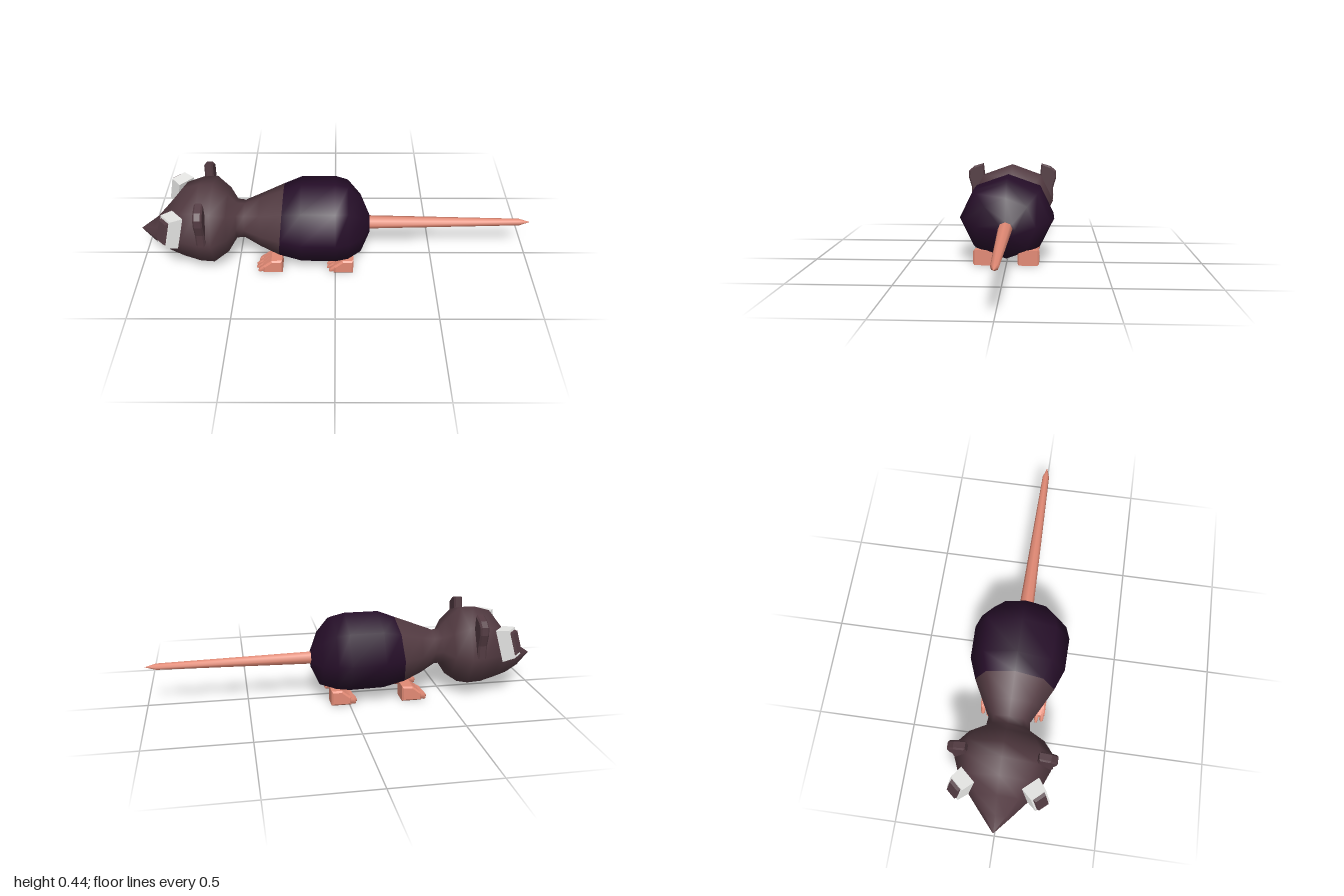
import * as THREE from 'three';

const material = (name, color, extra = {}) => {
  const m = new THREE.MeshStandardMaterial({ color, ...extra });
  m.name = name;
  return m;
};

// Loft of eight-sided rings along x: [x, top, bottom, halfWidth, slant]
function loft(rings, split = Infinity, sides = 8) {
  const pos = [], index = [];
  for (const [x, top, bottom, half, slant = 0] of rings) {
    for (let j = 0; j < sides; j++) {
      const t = (j / sides) * Math.PI * 2;
      pos.push(x + slant * Math.cos(t), (top + bottom) / 2 + ((top - bottom) / 2) * Math.cos(t), half * Math.sin(t));
    }
  }
  const geo = new THREE.BufferGeometry();
  let splitStart = 0;
  for (let i = 0; i < rings.length - 1; i++) {
    if (i === split) splitStart = index.length;
    for (let j = 0; j < sides; j++) {
      const k = (j + 1) % sides;
      const a = i * sides + j, b = i * sides + k, d = a + sides, e = b + sides;
      index.push(a, b, d, b, e, d);
    }
  }
  geo.setAttribute('position', new THREE.Float32BufferAttribute(pos, 3));
  geo.setIndex(index);
  geo.computeVertexNormals();
  if (splitStart) {
    geo.addGroup(0, splitStart, 0);
    geo.addGroup(splitStart, index.length - splitStart, 1);
  }
  return geo;
}

// Extruded outline, centred on its depth
function slab(points, depth, bevel) {
  const shape = new THREE.Shape(points.map(([x, y]) => new THREE.Vector2(x, y)));
  const geo = new THREE.ExtrudeGeometry(shape, {
    depth: depth - 2 * bevel, bevelEnabled: bevel > 0, bevelSize: bevel, bevelThickness: bevel,
    bevelOffset: -bevel, bevelSegments: 1,
  });
  geo.translate(0, 0, bevel - depth / 2);
  return geo;
}

export function createModel() {
  const fur = material('brown fur', 0x523a41);
  const coat = material('dark purple coat', 0x260e29);
  const skin = material('pink skin', 0xe28a75);
  const white = material('eye white', 0xf0f0ee);

  const model = new THREE.Group();
  model.name = 'rat';
  const add = (parent, name, geo, mat) => {
    const mesh = new THREE.Mesh(geo, mat);
    mesh.name = name;
    parent.add(mesh);
    return mesh;
  };

  // Head, neck and rump in one skin, with the dark coat behind the shoulders
  add(model, 'headAndBody', loft([
    [-1, 0.167, 0.163, 0.002],
    [-0.92, 0.222, 0.098, 0.072],
    [-0.84, 0.315, 0.062, 0.142],
    [-0.765, 0.41, 0.042, 0.2],
    [-0.68, 0.435, 0.024, 0.235],
    [-0.61, 0.435, 0.022, 0.243],
    [-0.54, 0.375, 0.072, 0.185],
    [-0.5, 0.325, 0.134, 0.108],
    [-0.46, 0.32, 0.136, 0.104],
    [-0.38, 0.352, 0.09, 0.146],
    [-0.275, 0.4, 0.052, 0.2, 0.016],
    [-0.17, 0.435, 0.027, 0.24],
    [0, 0.435, 0.024, 0.243],
    [0.065, 0.42, 0.03, 0.22],
    [0.13, 0.35, 0.055, 0.15],
    [0.175, 0.24, 0.155, 0.05],
    [0.178, 0.2, 0.2, 0],
  ], 10), [fur, coat]);

  // Tail
  add(model, 'tail', loft([
    [0.15, 0.239, 0.171, 0.036],
    [0.18, 0.238, 0.172, 0.036],
    [0.945, 0.222, 0.188, 0.018],
    [1, 0.205, 0.205, 0.001],
  ]), skin);

  for (const side of [1, -1]) {
    const label = side > 0 ? 'Front' : 'Back';

    // Ears: upright plates standing out sideways from the head
    const ear = add(model, 'ear' + label, slab([
      [0.15, 0.23], [0.242, 0.23], [0.242, 0.3], [0.26, 0.36], [0.258, 0.4], [0.228, 0.425], [0.172, 0.442],
    ], 0.045, 0.008), fur);
    ear.geometry.rotateY(-Math.PI / 2);
    if (side < 0) ear.geometry.rotateY(Math.PI).translate(-1.31, 0, 0);
    ear.position.x = -0.655;
    if (side < 0) ear.position.x += 1.31;

    // Eyes: bulging white blocks with a brown iris facing forward and outward
    const eye = new THREE.Group();
    eye.name = 'eye' + label;
    eye.position.set(-0.812, 0.287, side * 0.183);
    eye.lookAt(-0.812 - 0.7, 0.287 + 0.28, side * (0.183 + 0.62));
    const block = new THREE.CylinderGeometry(0.7071, 0.82, 1, 4, 1).rotateY(Math.PI / 4).rotateX(Math.PI / 2);
    add(eye, 'eyeWhite', block.clone().toNonIndexed().scale(0.082, 0.142, 0.065), white).geometry.computeVertexNormals();
    const iris = add(eye, 'iris', block.clone().toNonIndexed().scale(0.056, 0.104, 0.016), fur);
    iris.geometry.computeVertexNormals();
    iris.position.z = 0.039;
    model.add(eye);

    // Feet: wedge-shaped paw with four pointed toes
    for (const [name, heel] of [['foreFoot', -0.27], ['hindFoot', 0.092]]) {
      const foot = new THREE.Group();
      foot.name = name + label;
      foot.position.set(heel, 0, side * 0.113);
      add(foot, 'paw', slab([[0, 0], [0, 0.078], [-0.055, 0.076], [-0.1, 0.04], [-0.1, 0]], 0.11, 0.008), skin);
      for (let i = 0; i < 4; i++) {
        const f = i - 1.5;
        const toe = add(foot, 'toe', loft([
          [-0.14 + Math.abs(f) * 0.01, 0.014, 0.002, 0.004],
          [-0.115, 0.036, 0, 0.012],
          [-0.05, 0.078, 0.01, 0.014],
        ], Infinity, 6), skin);
        toe.position.z = f * 0.027;
      }
      model.add(foot);
    }
  }
  return model;
}
